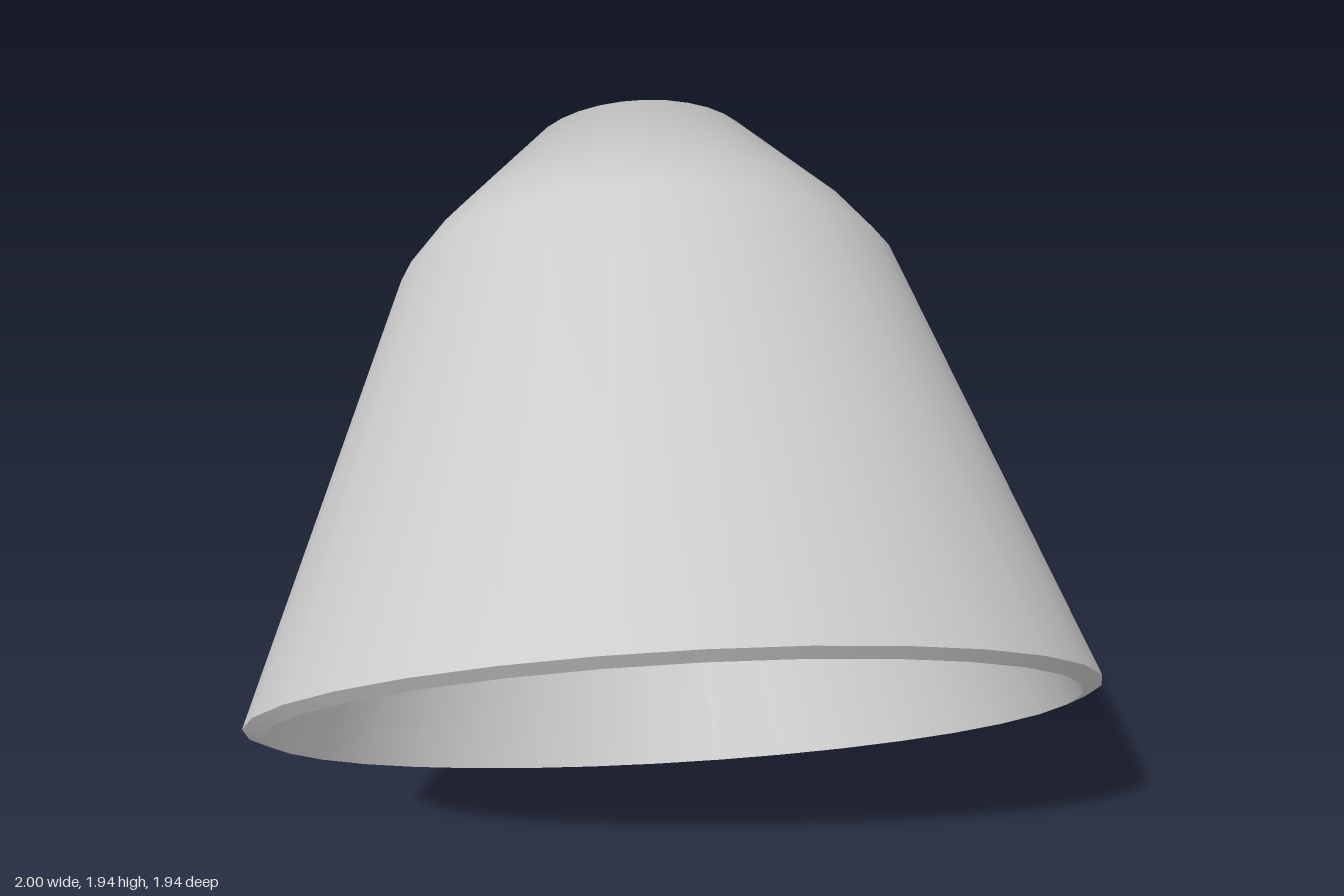
import * as THREE from 'three';

const SEGMENTS = 32;

// Turned surface from [radius, height] pairs
function turned(name, profile, material) {
  const points = profile.map(([r, h]) => new THREE.Vector2(r, h));
  const mesh = new THREE.Mesh(new THREE.LatheGeometry(points, SEGMENTS), material);
  mesh.name = name;
  return mesh;
}

export function createModel() {
  const model = new THREE.Group();
  model.name = 'lampShade';
  const material = new THREE.MeshStandardMaterial({ color: 0xcccccc });

  // The shade tips so that its open mouth faces forward and down
  const shade = new THREE.Group();
  shade.name = 'tiltedShade';
  shade.position.set(0, 0.758, 0.315);
  shade.rotation.x = -0.854;
  model.add(shade);

  // Outer wall: long cone, rounded shoulder, closed top
  shade.add(turned('outerShell', [
    [1, 0], [0.618, 1.084], [0.531, 1.2], [0.282, 1.458], [0, 1.458],
  ], material));

  // Inner wall, from the closed top down to the mouth
  shade.add(turned('innerShell', [
    [0, 1.412], [0.262, 1.412], [0.497, 1.168], [0.575, 1.065], [0.955, -0.017],
  ], material));

  // Narrow lip joining both walls
  shade.add(turned('rim', [[0.955, -0.017], [1, 0]], material));

  return model;
}
